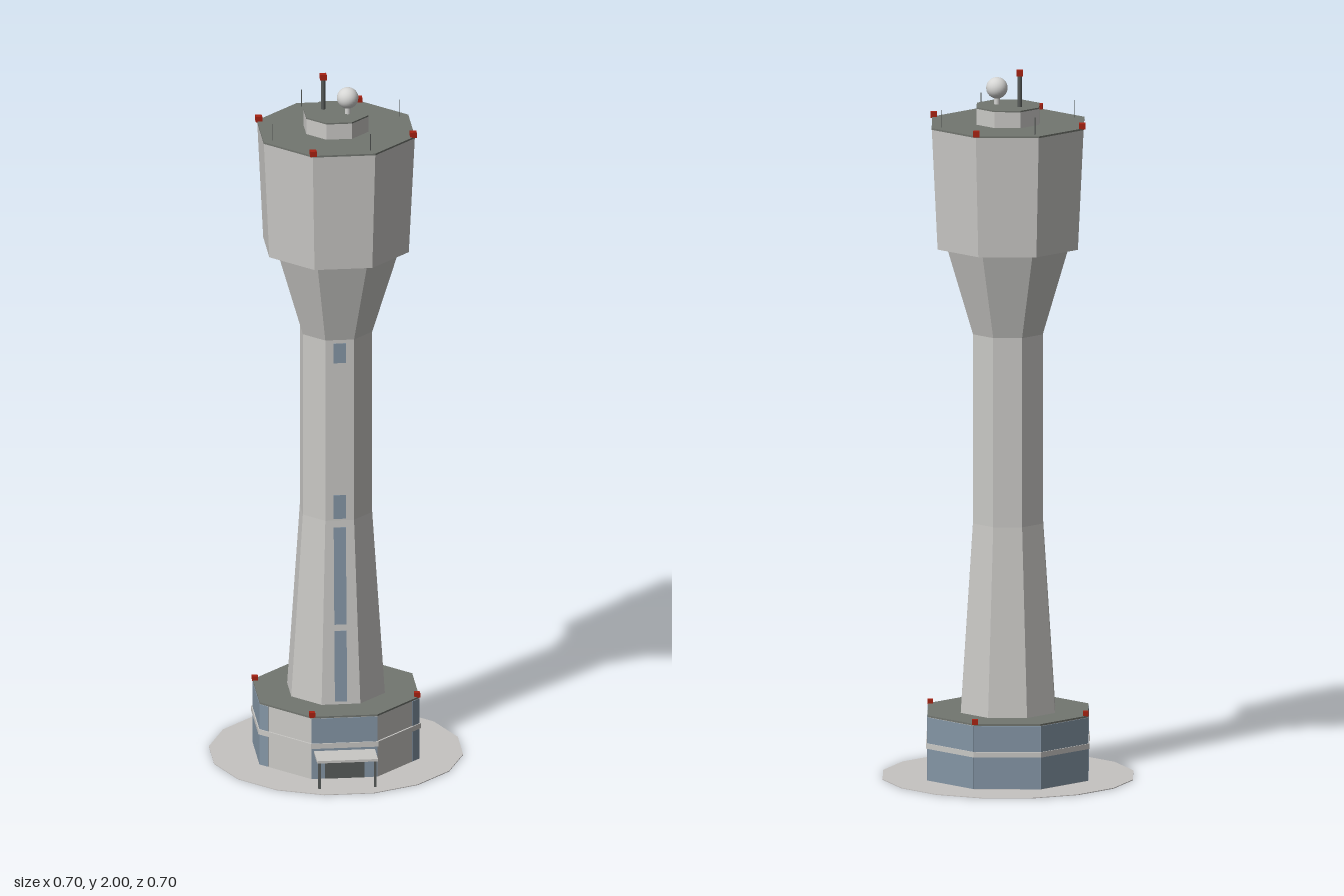
import * as THREE from 'three';

const mat = (name, color) => {
  const m = new THREE.MeshStandardMaterial({ color });
  m.name = name;
  return m;
};

export function createModel() {
  const wall = mat('concrete', 0xc9c8c5);
  const roof = mat('roofing', 0x727670);
  const paving = mat('paving', 0xc6c3c1);
  const glass = mat('glass', 0x8495a5);
  const dark = mat('darkMetal', 0x585c5a);
  const red = mat('beaconRed', 0xa82212);
  const white = mat('radomeWhite', 0xd6d6d4);

  const model = new THREE.Group();
  model.name = 'controlTower';

  const add = (name, geometry, material, x = 0, y = 0, z = 0, parent = model) => {
    const mesh = new THREE.Mesh(geometry, material);
    mesh.name = name;
    mesh.position.set(x, y, z);
    parent.add(mesh);
    return mesh;
  };

  // Faceted prism or frustum with a flat side facing front, sized by apothem
  const prism = (name, bottom, top, y0, y1, material, sides = 8) => {
    const k = 1 / Math.cos(Math.PI / sides);
    let g = new THREE.CylinderGeometry(top * k, bottom * k, y1 - y0, sides);
    g.rotateY(Math.PI / sides);
    g = g.toNonIndexed();
    g.computeVertexNormals();
    return add(name, g, material, 0, (y0 + y1) / 2, 0);
  };

  const box = (name, w, h, d, material, x, y, z) =>
    add(name, new THREE.BoxGeometry(w, h, d), material, x, y, z);

  // Thin plate on an upright wall whose normal points at the given angle
  const panel = (name, angle, apothem, u0, u1, y0, y1, material, depth = 0.004) => {
    const g = new THREE.BoxGeometry(u1 - u0, y1 - y0, depth);
    g.translate((u0 + u1) / 2, (y0 + y1) / 2, apothem);
    g.rotateY(angle);
    return add(name, g, material);
  };

  // Ground slab
  prism('groundSlab', 0.348, 0.348, 0, 0.002, paving, 16);

  // Base building
  prism('baseWalls', 0.222, 0.222, 0.002, 0.182, wall);
  prism('baseRoof', 0.223, 0.223, 0.182, 0.187, roof);
  prism('baseBand', 0.227, 0.227, 0.093, 0.108, wall);
  const half = 0.222 * Math.tan(Math.PI / 8);
  for (let i = 0; i < 8; i++) {
    let u0 = -half, u1 = half;
    if (i === 1) u0 = half - 0.03;
    if (i === 7) u1 = -half + 0.03;
    panel('baseGlazing', i * Math.PI / 4, 0.222, u0, u1, 0.003, 0.181, glass);
  }

  // Entrance with canopy
  panel('entranceDoor', 0, 0.2235, -0.055, 0.055, 0.003, 0.066, dark);
  box('canopy', 0.17, 0.007, 0.081, wall, 0, 0.082, 0.2645);
  for (const s of [-1, 1]) {
    box('canopyPost', 0.007, 0.079, 0.007, dark, s * 0.078, 0.04, 0.299);
  }

  // Shaft
  prism('shaftFoot', 0.131, 0.097, 0.185, 0.72, wall);
  prism('shaft', 0.097, 0.097, 0.72, 1.255, wall);
  prism('shaftFlare', 0.097, 0.168, 1.255, 1.502, wall);

  // Stair windows up the front of the shaft
  const slope = (0.131 - 0.097) / (0.72 - 0.185);
  for (const [y0, y1] of [[0.195, 0.40], [0.418, 0.70], [0.725, 0.795], [1.187, 1.245]]) {
    const y = (y0 + y1) / 2;
    const tilted = y < 0.72;
    const z = 0.097 + (tilted ? (0.72 - y) * slope : 0);
    const w = box('stairWindow', 0.034, y1 - y0, 0.004, glass, 0, y, z);
    if (tilted) w.rotation.x = -Math.atan(slope);
  }

  // Cab and its roof
  prism('cab', 0.195, 0.211, 1.502, 1.842, wall);
  prism('cabRoof', 0.2115, 0.2115, 1.842, 1.847, roof);
  prism('roofHouse', 0.087, 0.087, 1.847, 1.892, wall);
  prism('roofHouseTop', 0.087, 0.087, 1.892, 1.896, roof);

  // Radome and mast
  add('radomeStem', new THREE.CylinderGeometry(0.008, 0.008, 0.03, 12), white, 0.031, 1.908, 0.015);
  add('radome', new THREE.SphereGeometry(0.03, 24, 16), white, 0.031, 1.942, 0.015);
  add('mast', new THREE.CylinderGeometry(0.006, 0.006, 0.09, 8), dark, -0.033, 1.94, -0.026);
  box('mastBeacon', 0.018, 0.016, 0.018, red, -0.033, 1.992, -0.026);

  // Beacons on every second corner, whip aerials between them
  for (let i = 0; i < 4; i++) {
    const corner = Math.PI * (3 / 8 + i / 2);
    const sx = Math.sin(corner), cz = Math.cos(corner);
    box('cabBeacon', 0.018, 0.016, 0.018, red, 0.224 * sx, 1.853, 0.224 * cz);
    box('baseBeacon', 0.016, 0.014, 0.016, red, 0.235 * sx, 0.192, 0.235 * cz);
    const a = Math.PI * (1 / 8 + i / 2);
    add('whipAerial', new THREE.CylinderGeometry(0.0012, 0.0012, 0.05, 5), dark,
      0.2 * Math.sin(a), 1.871, 0.2 * Math.cos(a));
  }

  return model;
}
